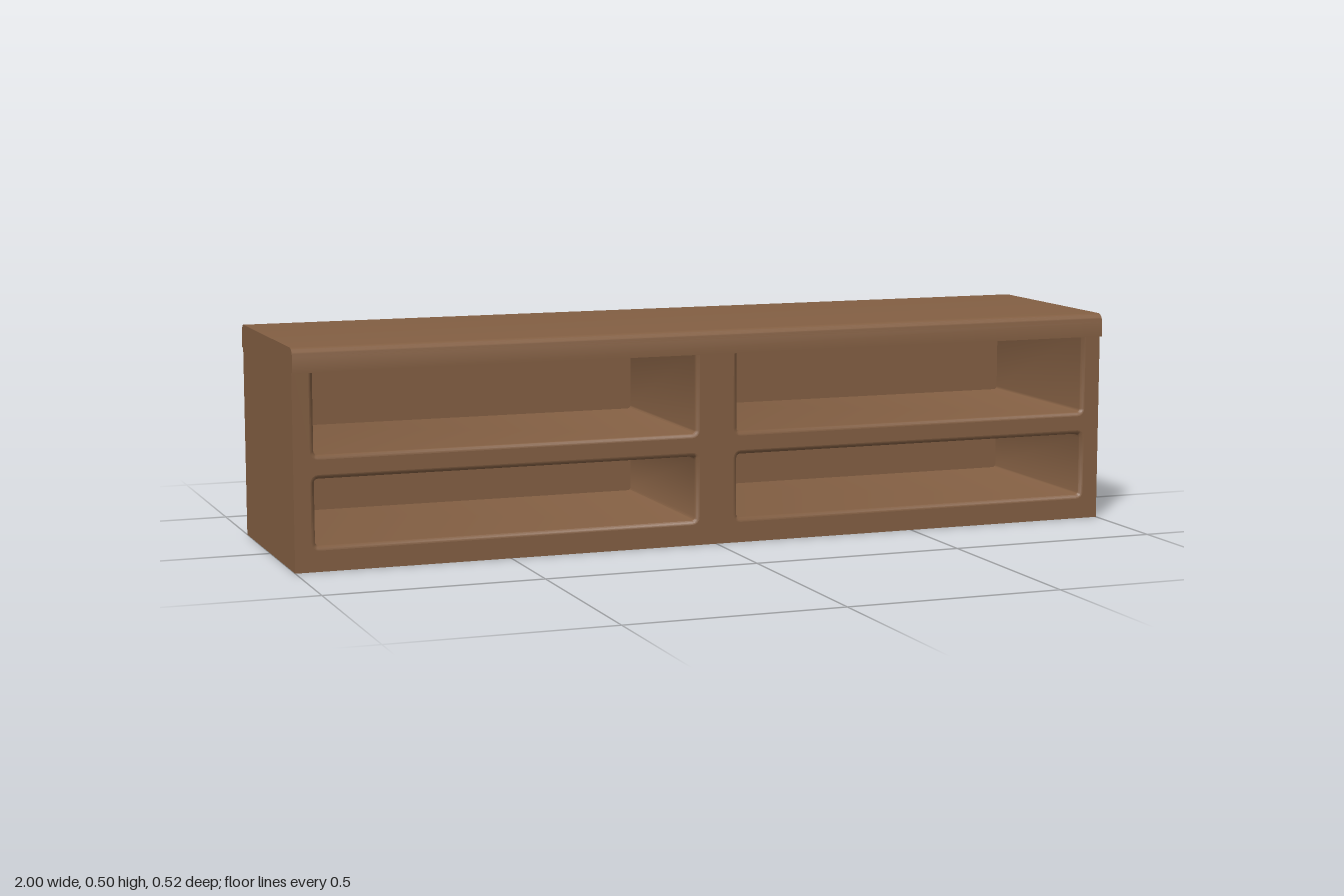
import * as THREE from 'three';
import { mergeVertices, toCreasedNormals } from 'three/addons/utils/BufferGeometryUtils.js';

const FRONT = 0.25, RECESS_BACK = -0.2, BEVEL = 0.01, TOP_UNDERSIDE = 0.447;

// Counter-clockwise rounded rectangle, grown outwards by g
function roundedRect([x0, x1, y0, y1], g) {
  const r = 0.008 + g, pts = [];
  const centres = [[x1 + g - r, y0 + g * -1 + r, -1], [x1 + g - r, y1 + g - r, 0],
    [x0 - g + r, y1 + g - r, 1], [x0 - g + r, y0 - g + r, 2]];
  for (const [cx, cy, quarter] of centres) {
    for (let i = 0; i <= 4; i++) {
      const a = (quarter + i / 4) * Math.PI / 2;
      pts.push(new THREE.Vector2(cx + r * Math.cos(a), cy + r * Math.sin(a)));
    }
  }
  return pts;
}

// Inward-facing walls of one compartment with a softened front edge
function compartmentWalls(rect) {
  const rings = [];
  for (let k = 0; k <= 4; k++) {
    const a = k / 4 * Math.PI / 2;
    rings.push([BEVEL * (1 - Math.sin(a)), FRONT - BEVEL * (1 - Math.cos(a))]);
  }
  rings.push([0, RECESS_BACK]);
  const pos = [], index = [];
  let n = 0;
  rings.forEach(([grow, z], k) => {
    const pts = roundedRect(rect, grow);
    n = pts.length;
    pts.forEach((p, i) => {
      pos.push(p.x, p.y, z);
      if (k === rings.length - 1) return;
      const a = k * n + i, a2 = k * n + (i + 1) % n;
      index.push(a, a2, a + n, a2, a2 + n, a + n);
    });
  });
  const geo = new THREE.BufferGeometry();
  geo.setAttribute('position', new THREE.Float32BufferAttribute(pos, 3));
  geo.setIndex(index);
  return toCreasedNormals(geo, 0.6);
}

export function createModel() {
  const group = new THREE.Group();
  const wood = new THREE.MeshStandardMaterial({ color: 0x835f43 });
  wood.name = 'brown wood';
  const add = (name, geo) => {
    const mesh = new THREE.Mesh(geo, wood);
    mesh.name = name;
    group.add(mesh);
    return mesh;
  };

  // Outer sides, base and back: a box without its top and front
  const shell = new THREE.BoxGeometry(2, TOP_UNDERSIDE, 2 * FRONT);
  const faces = Array.from(shell.index.array);
  shell.setIndex([...faces.slice(0, 12), ...faces.slice(18, 24), ...faces.slice(30, 36)]);
  shell.clearGroups();
  shell.translate(0, TOP_UNDERSIDE / 2, 0);
  add('cabinetShell', shell);

  // Front frame; it runs up behind the lip of the top board
  const frame = new THREE.Shape([[-1, 0], [1, 0], [1, 0.48], [-1, 0.48]].map(p => new THREE.Vector2(...p)));

  // Four open compartments
  for (const [column, x0, x1] of [['right', -0.952, -0.052], ['left', 0.052, 0.952]]) {
    for (const [row, y0, y1] of [['lower', 0.058, 0.208], ['upper', 0.262, 0.46]]) {
      const rect = [x0, x1, y0, y1];
      frame.holes.push(new THREE.Path(roundedRect(rect, BEVEL)));
      add(`${row}${column}CompartmentWalls`, compartmentWalls(rect));
      const back = new THREE.ShapeGeometry(new THREE.Shape(roundedRect(rect, 0)));
      add(`${row}${column}CompartmentBack`, back).position.z = RECESS_BACK;
    }
  }
  add('frontFrame', new THREE.ShapeGeometry(frame)).position.z = FRONT;

  // Overhanging top board with rounded front and back edges
  const profile = new THREE.Shape();
  const h = 0.26, top = 0.502, r = 0.02;
  profile.moveTo(-h, TOP_UNDERSIDE);
  profile.lineTo(h, TOP_UNDERSIDE);
  profile.lineTo(h, top - r);
  profile.absarc(h - r, top - r, r, 0, Math.PI / 2, false);
  profile.lineTo(-h + r, top);
  profile.absarc(-h + r, top - r, r, Math.PI / 2, Math.PI, false);
  profile.lineTo(-h, TOP_UNDERSIDE);
  let board = new THREE.ExtrudeGeometry(profile, { depth: 2, bevelEnabled: false, curveSegments: 4 });
  board.deleteAttribute('uv');
  board.deleteAttribute('normal');
  board.clearGroups();
  board = toCreasedNormals(mergeVertices(board), 0.6);
  board.translate(0, 0, -1);
  board.rotateY(Math.PI / 2);
  add('topBoard', board);

  return group;
}
